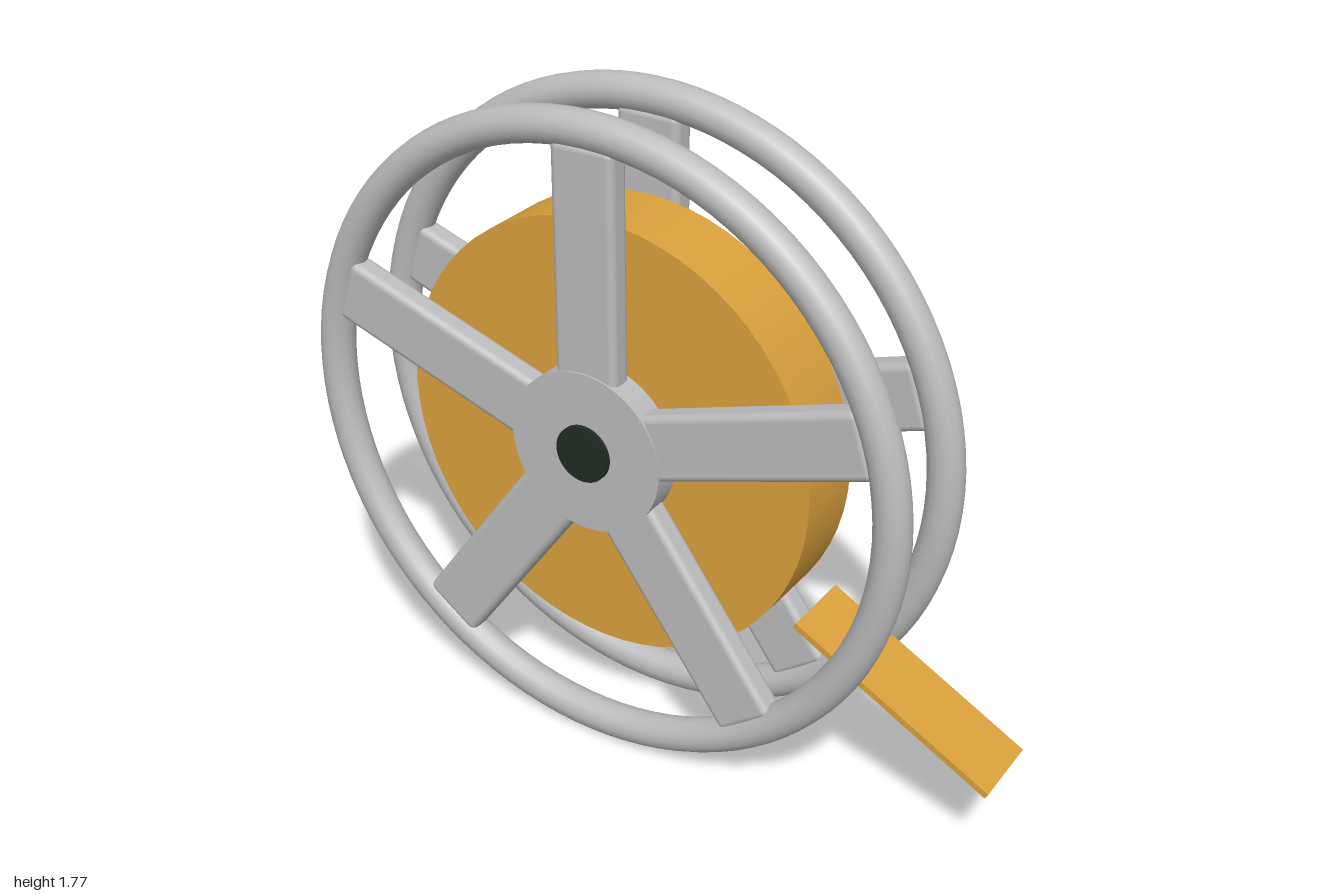
import * as THREE from 'three';
import { RoundedBoxGeometry } from 'three/addons/geometries/RoundedBoxGeometry.js';

const CX = -0.118, CY = 0.885; // reel axis
const RING_Z = 0.14;

export function createModel() {
  const metal = new THREE.MeshStandardMaterial({ name: 'light grey metal', color: 0xbcbcbe });
  const tape = new THREE.MeshStandardMaterial({ name: 'amber tape', color: 0xd9a03c });
  const dark = new THREE.MeshStandardMaterial({ name: 'dark axle', color: 0x202c23 });

  const model = new THREE.Group();
  model.name = 'reel';
  const wheel = new THREE.Group();
  wheel.name = 'wheel';
  wheel.position.set(CX, CY, 0);
  model.add(wheel);

  const add = (parent, name, geometry, material) => {
    const mesh = new THREE.Mesh(geometry, material);
    mesh.name = name;
    parent.add(mesh);
    return mesh;
  };
  // cylinder lying along z
  const disc = (r, depth) => new THREE.CylinderGeometry(r, r, depth, 64).rotateX(Math.PI / 2);

  // wound tape and the axle through both sides
  add(wheel, 'tapeRoll', disc(0.597, 0.205), tape);
  add(wheel, 'axle', disc(0.077, 0.384), dark);

  // a spoked flange on each side
  const ringGeo = new THREE.TorusGeometry(0.836, 0.047, 16, 96);
  const hubGeo = disc(0.22, 0.08);
  const spokeGeo = new RoundedBoxGeometry(0.178, 0.66, 0.07, 3, 0.02).translate(0, 0.478, 0);
  for (const side of [1, -1]) {
    const flange = new THREE.Group();
    flange.name = side > 0 ? 'frontFlange' : 'backFlange';
    flange.position.z = side * RING_Z;
    wheel.add(flange);
    add(flange, 'rim', ringGeo, metal);
    add(flange, 'hub', hubGeo, metal);
    for (let i = 0; i < 5; i++) {
      add(flange, 'spoke', spokeGeo, metal).rotation.z = (i * Math.PI * 2) / 5;
    }
  }

  // loose end of the tape
  const tail = add(model, 'tapeTail', new THREE.BoxGeometry(0.618, 0.017, 0.205), tape);
  tail.position.set(0.723, 0.387, 0);
  tail.rotation.z = -0.495;

  return model;
}
